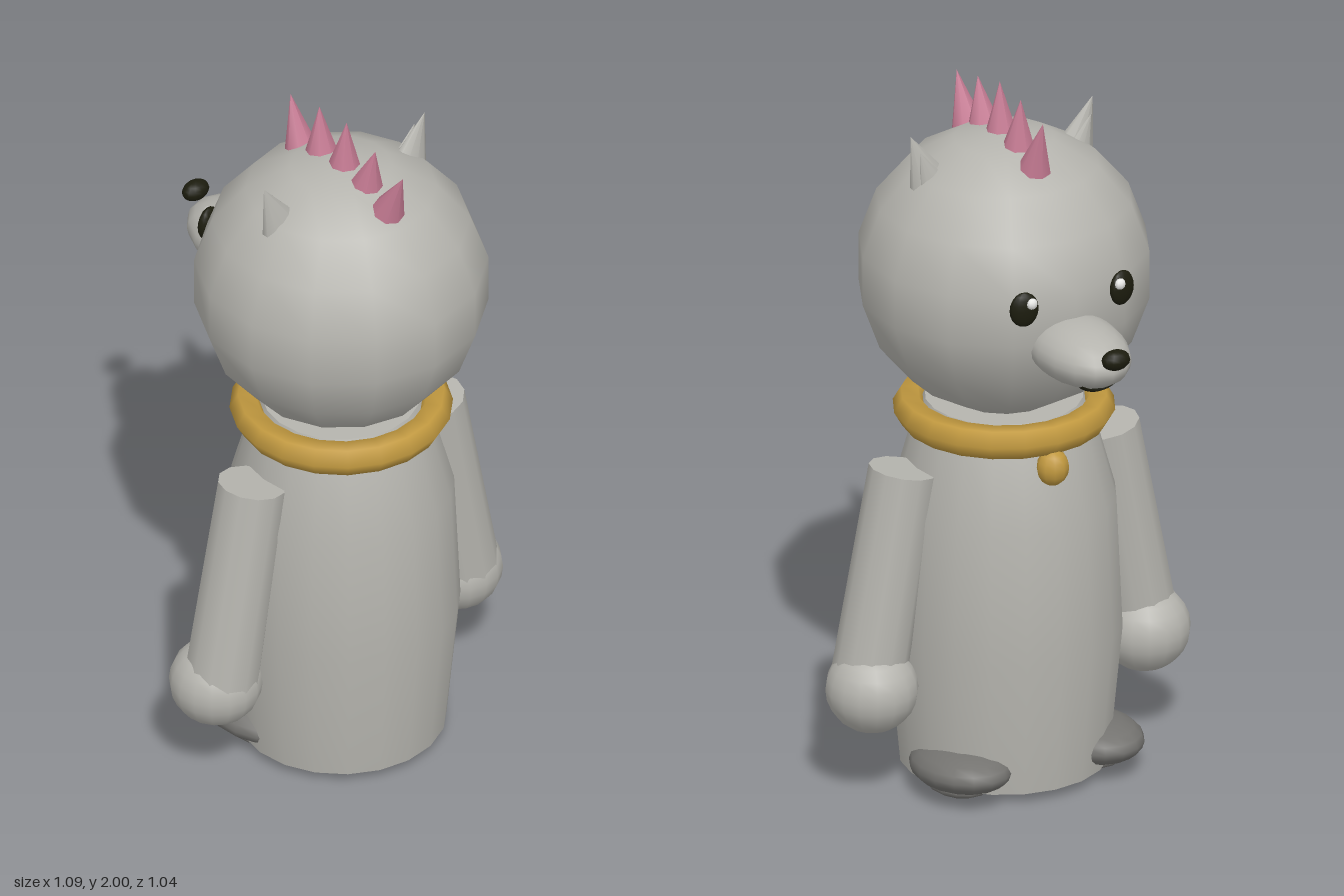
import * as THREE from 'three';

const mat = (name, color, side = THREE.FrontSide) => {
  const m = new THREE.MeshStandardMaterial({ color, side });
  m.name = name;
  return m;
};

export function createModel() {
  const model = new THREE.Group();
  model.name = 'bearFigure';
  const fur = mat('greyFur', 0xb5b4ae);
  const furOpen = mat('greyFurTwoSided', 0xb5b4ae, THREE.DoubleSide);
  const footGrey = mat('footGrey', 0x747370);
  const dark = mat('darkFeatures', 0x1c1c0e);
  const gold = mat('collarGold', 0xc0983f);
  const pink = mat('crestPink', 0xc47a92);
  const white = mat('eyeGlint', 0xf0f0ee);

  const add = (name, geo, material, pos = [0, 0, 0], rot = [0, 0, 0], parent = model) => {
    const m = new THREE.Mesh(geo, material);
    m.name = name;
    m.position.set(...pos);
    m.rotation.set(...rot);
    parent.add(m);
    return m;
  };
  const ball = (rx, ry, rz, w = 14, h = 10) =>
    new THREE.SphereGeometry(1, w, h).scale(rx, ry, rz);
  // Tapered cylinder or cone running from a to b
  const limb = (name, a, b, ra, rb, sides, material, parent) => {
    const A = new THREE.Vector3(...a), B = new THREE.Vector3(...b);
    const d = B.clone().sub(A);
    const m = add(name, new THREE.CylinderGeometry(rb, ra, d.length(), sides), material,
      [0, 0, 0], [0, 0, 0], parent);
    m.position.copy(A).add(B).multiplyScalar(0.5);
    m.quaternion.setFromUnitVectors(new THREE.Vector3(0, 1, 0), d.normalize());
    return m;
  };

  const cz = 0.122; // shared axis of body, collar and head

  // Body: turned profile with closed base and neck
  const profile = [[0, 0.03], [0.285, 0.03], [0.322, 0.42], [0.305, 0.8], [0.245, 1.02], [0.215, 1.09], [0, 1.09]]
    .map(([x, y]) => new THREE.Vector2(x, y));
  // The side wall is lathed apart from the caps so their rims stay sharp
  add('body', new THREE.LatheGeometry(profile.slice(1, 6), 20), furOpen, [0, 0, cz]);
  add('bodyBase', new THREE.LatheGeometry(profile.slice(0, 2), 20), furOpen, [0, 0, cz]);
  add('neckTop', new THREE.LatheGeometry(profile.slice(5), 20), furOpen, [0, 0, cz]);

  // Collar with bell
  add('collar', new THREE.TorusGeometry(0.256, 0.046, 6, 20), gold, [0, 1.057, cz], [Math.PI / 2, 0, 0]);
  add('collarBell', ball(0.046, 0.052, 0.042, 10, 8), gold, [0, 0.975, -0.146]);

  // Head and muzzle
  add('head', new THREE.SphereGeometry(0.403, 14, 9), fur, [0, 1.467, cz], [0, Math.PI / 2, 0]);
  add('muzzle', ball(0.124, 0.087, 0.2, 16, 12), fur, [0, 1.378, -0.283]);
  add('nose', ball(0.042, 0.029, 0.029, 12, 8), dark, [0, 1.425, -0.493]);
  const arc = 1.5;
  add('mouth', new THREE.TorusGeometry(0.08, 0.012, 6, 12, arc), dark,
    [0, 1.389, -0.4], [0, 0, -Math.PI / 2 - arc / 2]);

  // Crest: [base z, base y, tip z, tip y]
  [[-0.046, 1.815, -0.092, 1.965], [0.04, 1.845, 0.03, 1.99], [0.135, 1.85, 0.145, 2.0],
    [0.23, 1.84, 0.266, 1.97], [0.32, 1.805, 0.382, 1.943]].forEach(([z, y, tz, ty], i) =>
    limb('crestSpike' + (i + 1), [0, y, z], [0, ty, tz], 0.046, 0, 8, pink));

  // Mirrored parts
  for (const s of [1, -1]) {
    const side = s > 0 ? 'left' : 'right';
    const eye = new THREE.Group();
    eye.name = side + 'Eye';
    model.add(eye);
    add('eyeball', ball(0.041, 0.05, 0.018, 12, 10), dark, [s * 0.151, 1.515, -0.257], [0, -s * 0.22, 0], eye);
    add('glint', ball(0.016, 0.016, 0.012, 8, 6), white, [s * 0.136, 1.535, -0.275], [0, 0, 0], eye);

    // Flattened ear cone with a smaller cone set into its face
    const ear = new THREE.Group();
    ear.name = side + 'Ear';
    ear.position.set(s * 0.25, 1.822, 0.135);
    ear.rotation.z = -s * 0.38;
    model.add(ear);
    add('outerEar', new THREE.ConeGeometry(0.066, 0.17, 10).scale(1, 1, 0.58), fur, [0, 0, 0], [0, 0, 0], ear);
    add('innerEar', new THREE.ConeGeometry(0.042, 0.11, 10).scale(1, 1, 0.5), fur, [0, -0.015, -0.022], [0, 0, 0], ear);

    limb(side + 'Arm', [s * 0.42, 0.34, 0.122], [s * 0.312, 0.935, 0.122], 0.103, 0.094, 12, fur);
    add(side + 'Hand', ball(0.126, 0.122, 0.128, 16, 12), fur, [s * 0.421, 0.32, 0.1]);

    const foot = new THREE.Group();
    foot.name = side + 'Foot';
    model.add(foot);
    add('footTop', ball(0.13, 0.063, 0.175, 16, 10), footGrey, [s * 0.203, 0.086, -0.003], [0.06, 0, 0], foot);
    add('footPad', ball(0.085, 0.035, 0.11, 14, 8), footGrey, [s * 0.203, 0.036, 0.015], [0, 0, 0], foot);
  }
  return model;
}
